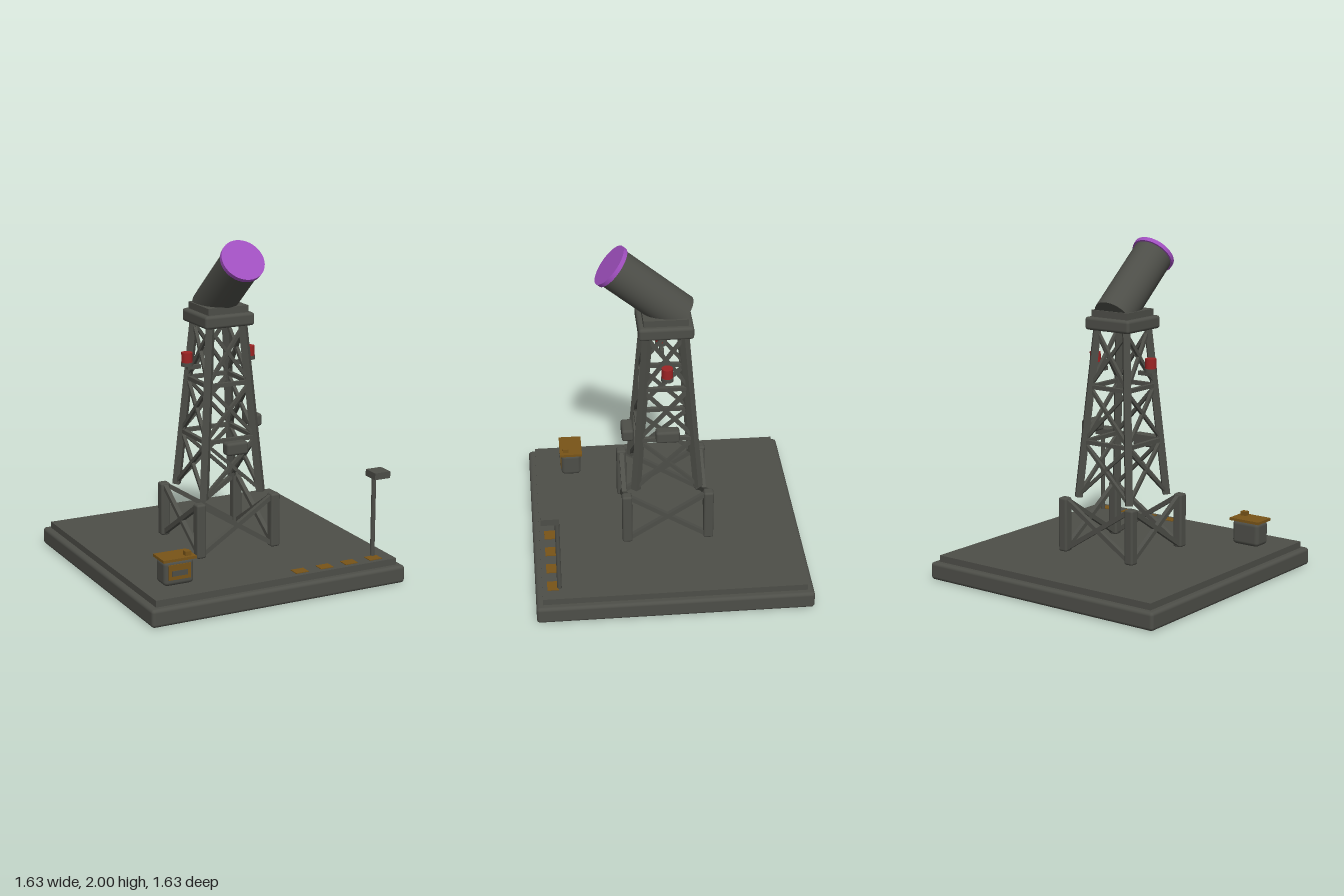
import * as THREE from 'three';
import { RoundedBoxGeometry } from 'three/addons/geometries/RoundedBoxGeometry.js';

function material(name, color) {
  const m = new THREE.MeshStandardMaterial({ color });
  m.name = name;
  return m;
}

export function createModel() {
  const grey = material('dark grey metal', 0x4d4e48);
  const purple = material('purple lens', 0xa04fbf);
  const red = material('red lamp', 0x9c2424);
  const amber = material('amber panel', 0x785418);

  const model = new THREE.Group();
  model.name = 'searchlightTower';

  function add(name, geometry, mat, x, y, z, parent = model) {
    const mesh = new THREE.Mesh(geometry, mat);
    mesh.name = name;
    mesh.position.set(x, y, z);
    parent.add(mesh);
    return mesh;
  }
  // Boxes given by their extents: [x0, x1, y0, y1, z0, z1]
  function box(name, [x0, x1, y0, y1, z0, z1], mat = grey, radius = 0, parent = model) {
    const s = [x1 - x0, y1 - y0, z1 - z0];
    const geometry = radius ? new RoundedBoxGeometry(...s, 3, radius) : new THREE.BoxGeometry(...s);
    return add(name, geometry, mat, (x0 + x1) / 2, (y0 + y1) / 2, (z0 + z1) / 2, parent);
  }
  // Square bar between two points
  function beam(name, a, b, width, parent) {
    const from = new THREE.Vector3(...a), to = new THREE.Vector3(...b);
    const mid = from.clone().add(to).multiplyScalar(0.5);
    const mesh = add(name, new THREE.BoxGeometry(width, width, from.distanceTo(to)), grey, mid.x, mid.y, mid.z, parent);
    mesh.lookAt(to);
    return mesh;
  }

  // Stepped base
  box('baseSlab', [-0.815, 0.815, 0, 0.106, -0.815, 0.815], grey, 0.02);
  box('baseDeck', [-0.775, 0.775, 0.1, 0.145, -0.775, 0.775]);

  // Footing: four posts with crossed braces
  for (const x of [-0.245, 0.245]) for (const z of [-0.245, 0.245])
    box('footPost', [x - 0.03, x + 0.03, 0.145, 0.475, z - 0.03, z + 0.03], grey, 0.013);

  // One group per side, turned about the tower axis
  const halfAt = y => 0.187 - (y - 0.475) * 0.08;
  const levels = [0.475, 0.81, 1.14, 1.48];
  for (let side = 0; side < 4; side++) {
    const truss = new THREE.Group();
    truss.name = 'trussSide';
    model.add(truss);
    for (const s of [-1, 1])
      beam('footBrace', [-0.235 * s, 0.16, 0.245], [0.235 * s, 0.46, 0.245], 0.027, truss);
    const h0 = halfAt(0.475), h1 = halfAt(1.49);
    beam('towerLeg', [h0, 0.475, h0], [h1, 1.49, h1], 0.042, truss);
    for (let i = 0; i < 3; i++) {
      const y0 = levels[i], y1 = levels[i + 1], a = halfAt(y0), b = halfAt(y1);
      for (const s of [-1, 1])
        beam('towerBrace', [-a * s, y0 + 0.01, a], [b * s, y1 - 0.01, b], 0.02, truss);
      if (i < 2) beam('towerRail', [-b, y1, b], [b, y1, b], 0.024, truss);
    }
    truss.rotation.y = side * Math.PI / 2;
  }

  // Head platform
  box('platform', [-0.16, 0.16, 1.48, 1.557, -0.16, 0.16], grey, 0.018);
  box('platformRiser', [-0.13, 0.13, 1.55, 1.597, -0.13, 0.13]);

  // Tilted barrel with its lens, aimed up and forward
  const barrel = new THREE.Group();
  barrel.name = 'barrel';
  barrel.position.set(0, 1.563, -0.091);
  barrel.rotation.x = THREE.MathUtils.degToRad(50);
  model.add(barrel);
  add('barrelTube', new THREE.CylinderGeometry(0.12, 0.12, 0.5, 40), grey, 0, 0.25, 0, barrel);
  add('lens', new THREE.CylinderGeometry(0.131, 0.131, 0.026, 40), purple, 0, 0.512, 0, barrel);

  // Warning lamps on both flanks
  for (const s of [-1, 1]) {
    const lamp = new THREE.Group();
    lamp.name = 'warningLamp';
    model.add(lamp);
    beam('lampArm', [s * 0.12, 1.233, 0], [s * 0.205, 1.233, 0], 0.024, lamp);
    add('lampSocket', new THREE.CylinderGeometry(0.036, 0.036, 0.022, 24), grey, s * 0.205, 1.255, 0, lamp);
    add('lampGlass', new THREE.CylinderGeometry(0.033, 0.033, 0.06, 24), red, s * 0.205, 1.295, 0, lamp);
  }

  // Equipment boxes hung on the truss
  box('frontEquipmentBox', [-0.07, 0.07, 0.738, 0.815, 0.188, 0.258], grey, 0.016);
  box('sideEquipmentBox', [0.188, 0.26, 0.84, 0.916, -0.07, 0.07], grey, 0.016);

  // Control console
  box('consoleBody', [-0.645, -0.46, 0.145, 0.293, 0.49, 0.612], grey, 0.025);
  box('consoleLid', [-0.655, -0.45, 0.291, 0.307, 0.48, 0.62], amber);
  box('consoleKnob', [-0.51, -0.473, 0.307, 0.332, 0.565, 0.6], amber);
  box('consolePanel', [-0.622, -0.483, 0.183, 0.272, 0.609, 0.616], amber);
  box('consoleSlot', [-0.602, -0.505, 0.205, 0.236, 0.613, 0.619]);

  // Lamp post on the front corner
  add('lampPost', new THREE.CylinderGeometry(0.0135, 0.0135, 0.51, 16), grey, 0.672, 0.395, 0.675);
  box('lampPostHead', [0.622, 0.724, 0.64, 0.68, 0.664, 0.768]);

  // Painted deck markers
  for (let i = 0; i < 4; i++) {
    const x = 0.162 + i * 0.164;
    box('deckMarker', [x - 0.041, x + 0.041, 0.143, 0.149, 0.68, 0.746], amber);
  }
  return model;
}
